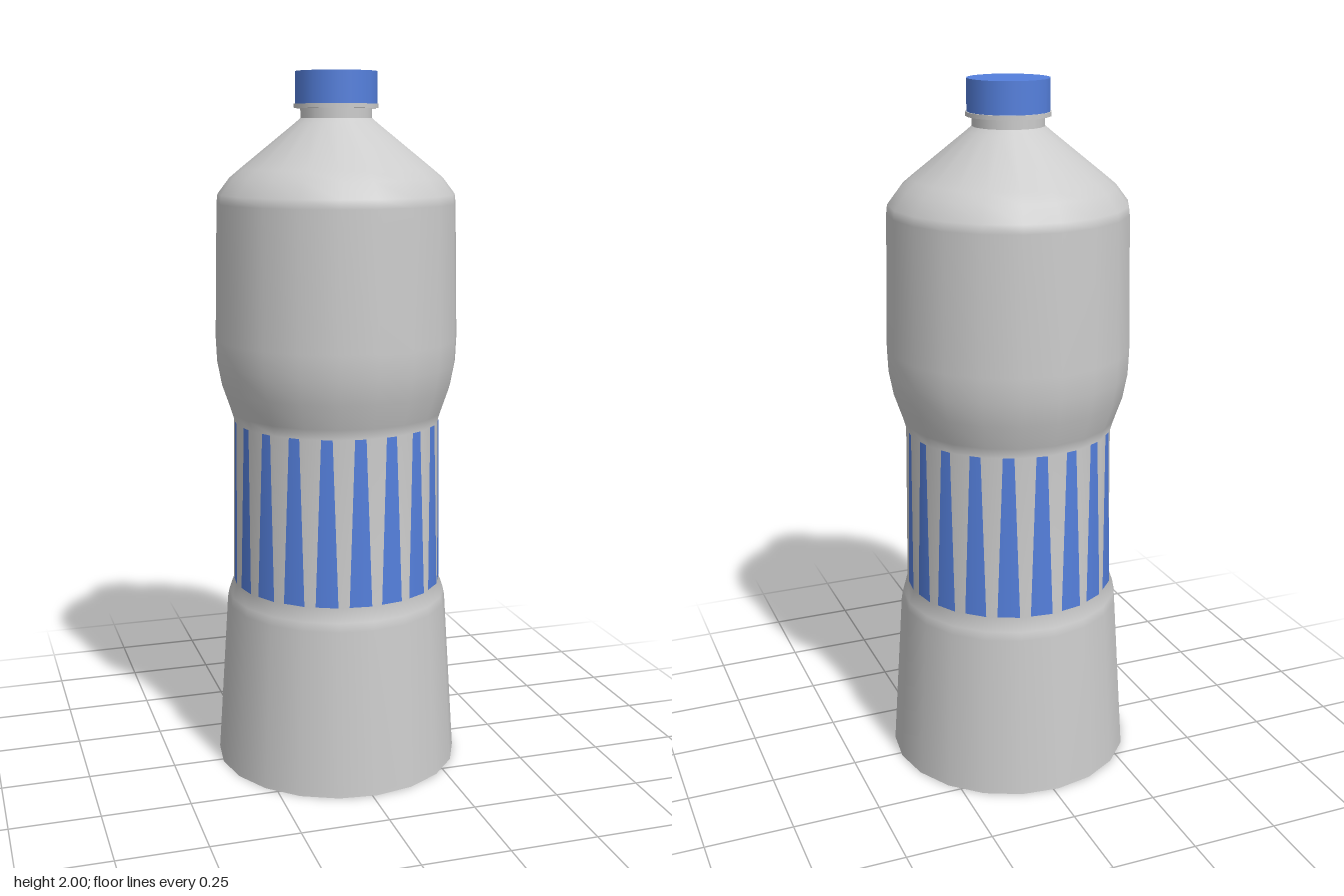
import * as THREE from 'three';
import { mergeGeometries } from 'three/addons/utils/BufferGeometryUtils.js';

const SIDES = 20;
const STEP = (Math.PI * 2) / SIDES;
const START = THREE.MathUtils.degToRad(2.4); // turn of the polygonal outline

const grey = new THREE.MeshStandardMaterial({ color: 0xcccccc });
const blue = new THREE.MeshStandardMaterial({ color: 0x5580dd });

// Waist band that carries the stripes
const WAIST = { y0: 0.545, r0: 0.304, y1: 1.02, r1: 0.297 };

function add(group, name, geometry, material) {
  const mesh = new THREE.Mesh(geometry, material);
  mesh.name = name;
  group.add(mesh);
  return mesh;
}

function lathe(points) {
  return new THREE.LatheGeometry(points.map(([r, y]) => new THREE.Vector2(r, y)), SIDES, START);
}

function drum(rBottom, rTop, y0, y1) {
  return new THREE.CylinderGeometry(rTop, rBottom, y1 - y0, SIDES, 1, false, START)
    .translate(0, (y0 + y1) / 2, 0);
}

// Point on one flat facet: t runs 0..1 along the facet's chord
function facetPoint(i, t, r, y) {
  const a = START + (i - 1) * STEP;
  const p = new THREE.Vector3(Math.sin(a), 0, Math.cos(a));
  const q = new THREE.Vector3(Math.sin(a + STEP), 0, Math.cos(a + STEP));
  return p.lerp(q, t).multiplyScalar(r + 0.0015).setY(y);
}

// Tapered stripe lying on one facet of the waist
function stripe(i) {
  const { y0, r0, y1, r1 } = WAIST;
  const corners = [
    facetPoint(i, 0.32, r0, y0), facetPoint(i, 0.99, r0, y0),
    facetPoint(i, 0.82, r1, y1), facetPoint(i, 0.48, r1, y1),
  ];
  const normals = corners.map((c) => c.clone().setY(0).normalize());
  const g = new THREE.BufferGeometry();
  g.setAttribute('position', new THREE.Float32BufferAttribute(corners.flatMap((c) => c.toArray()), 3));
  g.setAttribute('normal', new THREE.Float32BufferAttribute(normals.flatMap((n) => n.toArray()), 3));
  g.setIndex([0, 1, 2, 0, 2, 3]);
  return g;
}

export function createModel() {
  const bottle = new THREE.Group();
  bottle.name = 'bottle';

  // Body: flared foot, narrow waist, bulging upper part and sloping shoulder
  add(bottle, 'body', lathe([
    [0.355, 0], [0.354, 0.012], [0.323, 0.48], [0.318, 0.505],
    [WAIST.r0, WAIST.y0], [WAIST.r1, WAIST.y1],
    [0.306, 1.05], [0.33, 1.12], [0.343, 1.19], [0.346, 1.26],
    [0.337, 1.64], [0.334, 1.665], [0.3, 1.71], [0.27, 1.735],
    [0.115, 1.86], [0.1, 1.873],
  ]), grey);

  // Flat base
  add(bottle, 'base', new THREE.CircleGeometry(0.355, SIDES, START - Math.PI / 2)
    .rotateX(Math.PI / 2), grey);

  // Neck and collar
  add(bottle, 'neck', drum(0.1, 0.1, 1.868, 1.905), grey);
  add(bottle, 'collar', drum(0.118, 0.118, 1.9, 1.912), grey);

  // Screw cap
  add(bottle, 'cap', drum(0.114, 0.114, 1.912, 2), blue);

  // Ring of stripes around the waist
  const stripes = Array.from({ length: SIDES }, (_, i) => stripe(i));
  add(bottle, 'waistStripes', mergeGeometries(stripes), blue);

  return bottle;
}
